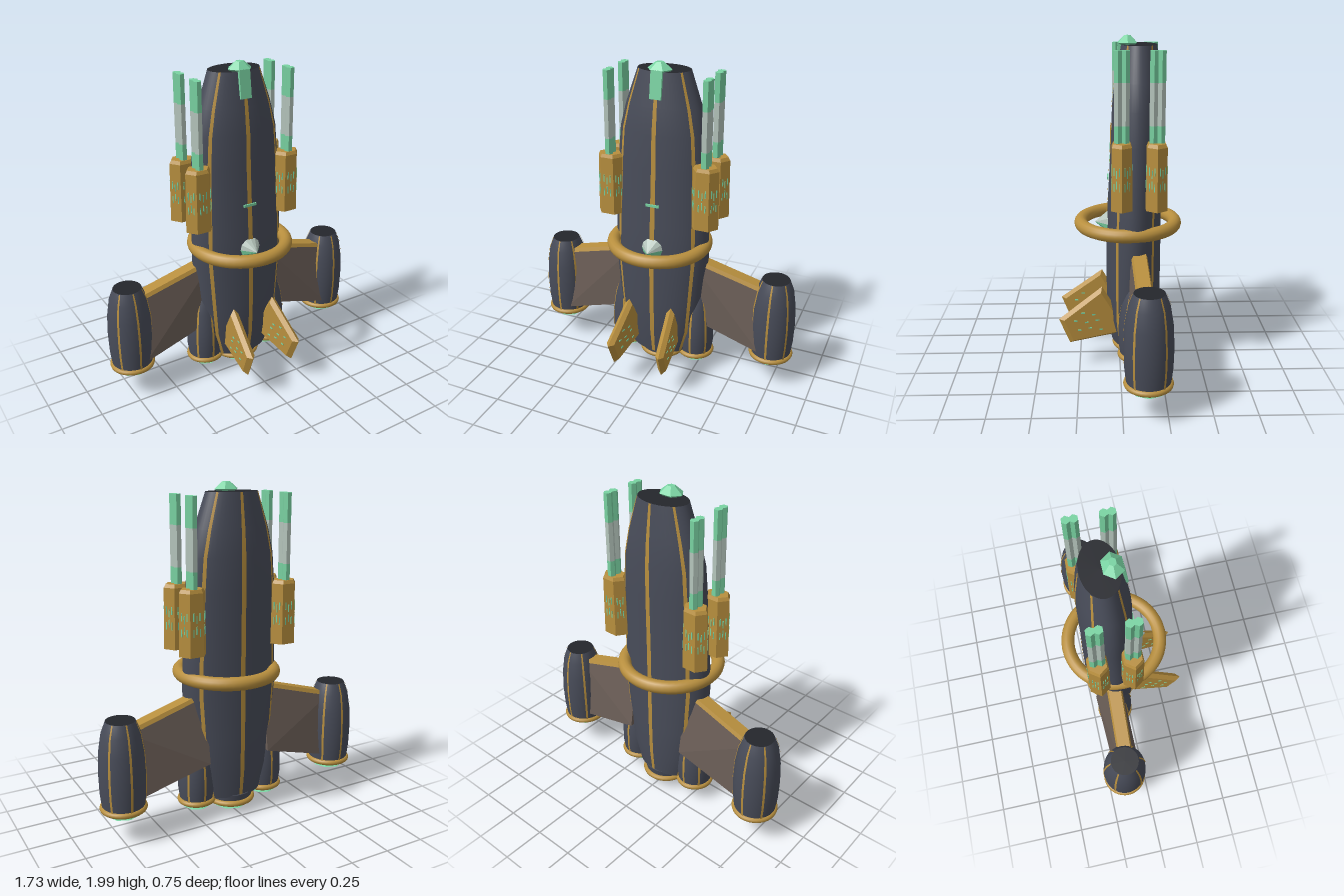
import * as THREE from 'three';
import { ConvexGeometry } from 'three/addons/geometries/ConvexGeometry.js';

const mat = (name, color) => {
  const m = new THREE.MeshStandardMaterial({ color });
  m.name = name;
  return m;
};

export function createModel() {
  const hullPaint = mat('slate hull', 0x484c59);
  const capPaint = mat('dark cap', 0x24262c);
  const gold = mat('gold trim', 0xb88f3e);
  const brown = mat('brown panel', 0x6b5e57);
  const green = mat('green crystal', 0x79d3a2);
  const pale = mat('pale crystal', 0xb6c6bd);

  const model = new THREE.Group();
  model.name = 'spaceship';

  const add = (parent, name, geometry, material, x = 0, y = 0, z = 0) => {
    const mesh = new THREE.Mesh(geometry, material);
    mesh.name = name;
    mesh.position.set(x, y, z);
    parent.add(mesh);
    return mesh;
  };
  const group = (name, x = 0, y = 0, z = 0) => {
    const g = new THREE.Group();
    g.name = name;
    g.position.set(x, y, z);
    model.add(g);
    return g;
  };
  const flat = (geometry) => {
    const g = geometry.toNonIndexed();
    g.computeVertexNormals();
    return g;
  };
  const convex = (pts) => new ConvexGeometry(pts.map((p) => new THREE.Vector3(...p)));

  // Elliptical loft: each row is [y, half width, half depth, centre z]
  const loft = (rows, grow = 0, start = 0, sweep = Math.PI * 2, segs = 48) => {
    const g = new THREE.LatheGeometry(rows.map((r) => new THREE.Vector2(1, r[0])), segs, start, sweep);
    const p = g.attributes.position;
    for (let i = 0; i < p.count; i++) {
      const [, w, d, c] = rows[i % rows.length];
      p.setX(i, p.getX(i) * (w + grow));
      p.setZ(i, p.getZ(i) * (d + grow) + c);
    }
    g.computeVertexNormals();
    return g;
  };

  // Hull with closed ends and painted lengthwise stripes
  const stripedHull = (parent, name, rows, width) => {
    add(parent, name, loft(rows), hullPaint);
    const top = rows[rows.length - 1], low = rows[0];
    add(parent, name + 'TopCap', loft([top, [top[0], 0, 0, top[3]]]), capPaint);
    add(parent, name + 'BottomCap', loft([[low[0], 0, 0, low[3]], low]), hullPaint);
    for (const deg of [0, 52, 128, 180, 232, 308]) {
      const a = THREE.MathUtils.degToRad(deg);
      add(parent, name + 'Stripe', loft(rows, 0.004, a - width / 2, width, 4), gold);
    }
  };

  // Gold collar with a faceted crystal exhaust below it
  const thruster = (parent, x, y, z, collarR, crystalR, drop) => {
    const collar = add(parent, 'thrusterCollar', new THREE.TorusGeometry(collarR, 0.018, 10, 36), gold, x, y, z);
    collar.rotation.x = Math.PI / 2;
    const pts = [[0, 0.03], [crystalR, 0], [0, -0.03]].map(([r, h]) => new THREE.Vector2(r, -h)).reverse();
    const outline = pts.map((p) => new THREE.Vector2(p.x, p.y)).sort((a, b) => a.y - b.y);
    add(parent, 'exhaustCrystal', flat(new THREE.LatheGeometry(outline, 8)), green, x, y - drop, z);
  };

  // Main body
  const body = group('body');
  stripedHull(body, 'fuselage', [
    [0.13, 0.2, 0.14, -0.09], [0.3, 0.26, 0.16, -0.086], [0.5, 0.28, 0.165, -0.085],
    [0.8, 0.305, 0.165, -0.085], [1.0, 0.3, 0.16, -0.088], [1.4, 0.285, 0.15, -0.1],
    [1.6, 0.268, 0.146, -0.102], [1.75, 0.23, 0.132, -0.106], [1.95, 0.16, 0.105, -0.11],
  ], 0.1);
  add(body, 'tailSleeve', new THREE.CylinderGeometry(0.14, 0.13, 0.07, 36), hullPaint, 0, 0.105, -0.1);
  thruster(body, 0, 0.085, -0.105, 0.132, 0.105, 0.048);

  // Large hoop around the waist
  const hoop = add(model, 'waistHoop', new THREE.TorusGeometry(0.285, 0.04, 14, 48), gold, 0, 0.89, -0.05);
  hoop.rotation.x = Math.PI / 2;

  // Nose crystal, its front strip, the marker line and the canopy gem
  const nose = add(model, 'noseCrystal', flat(new THREE.CylinderGeometry(0.025, 0.076, 0.04, 6, 1, false, Math.PI / 2)), green, 0, 1.98, -0.045);
  nose.scale.z = 0.82;
  add(model, 'noseCrystalBase', flat(new THREE.CylinderGeometry(0.076, 0.05, 0.02, 6, 1, false, Math.PI / 2)), green, 0, 1.95, -0.045).scale.z = 0.82;
  const strip = add(model, 'noseStrip', new THREE.BoxGeometry(0.07, 0.16, 0.03), green, 0, 1.88, 0.004);
  strip.rotation.x = -0.13;
  add(model, 'hullMarker', new THREE.BoxGeometry(0.085, 0.015, 0.009), green, 0, 1.172, 0.07);
  for (const [name, m, start] of [['canopyTop', pale, Math.PI / 2], ['canopyBottom', green, -Math.PI / 2]]) {
    const cone = new THREE.ConeGeometry(0.078, 0.09, 6, 1, false, start, Math.PI);
    add(model, name, flat(cone), m, 0, 0.89, 0.105).rotation.x = Math.PI / 2;
  }

  for (const s of [1, -1]) {
    const side = s > 0 ? 'left' : 'right';

    // Wing with a gold upper edge
    const wing = group(side + 'Wing');
    add(wing, 'wingPanel', convex([
      [s * 0.2, 0.78, -0.15], [s * 0.2, 0.78, -0.06], [s * 0.2, 0.38, -0.22], [s * 0.2, 0.38, -0.05],
      [s * 0.68, 0.645, -0.17], [s * 0.68, 0.645, -0.08], [s * 0.68, 0.245, -0.2], [s * 0.68, 0.245, -0.03],
    ]), brown);
    const edge = [];
    for (const [x, y, z] of [[0.2, 0.78, -0.105], [0.68, 0.645, -0.125]]) {
      for (const dz of [-0.047, 0.047]) edge.push([s * x, y, z + dz], [s * x, y + 0.025, z + dz * 0.8]);
    }
    add(wing, 'wingEdge', convex(edge), gold);

    // Wing tip engine
    const pod = group(side + 'WingEngine', s * 0.725, 0, -0.14);
    stripedHull(pod, 'enginePod', [
      [0.2, 0.122], [0.3, 0.133], [0.42, 0.136], [0.55, 0.13], [0.66, 0.112], [0.73, 0.085],
    ].map(([y, r]) => [y, r, r, 0]), 0.1);
    thruster(pod, 0, 0.205, 0, 0.12, 0.098, 0.043);

    // Small booster beside the tail
    const booster = group(side + 'Booster', s * 0.235, 0, -0.1);
    stripedHull(booster, 'boosterPod', [
      [0.11, 0.1], [0.2, 0.112], [0.32, 0.11], [0.45, 0.09], [0.54, 0.066], [0.58, 0.04],
    ].map(([y, r]) => [y, r, r, 0]), 0.12);
    thruster(booster, 0, 0.12, 0, 0.1, 0.083, 0.043);

    // Front fin, thickest inside its outline, with small inlays
    const fin = group(side + 'Fin', s * 0.13, 0, 0);
    fin.rotation.y = s * 0.1;
    const outline = [[0, 0.33], [0.11, 0.52], [0.375, 0.32], [0.31, 0.16], [0, 0.21]];
    const pts = [];
    for (const [z, y] of outline) {
      pts.push([0, y, z]);
      for (const t of [-0.026, 0.026]) pts.push([t, 0.31 + (y - 0.31) * 0.85, 0.17 + (z - 0.17) * 0.85]);
    }
    add(fin, 'finBlade', convex(pts), gold);
    for (const t of [-0.026, 0.026]) {
      for (let i = 0; i < 8; i++) {
        add(fin, 'finInlay', new THREE.BoxGeometry(0.006, 0.008, 0.022), green,
          t, 0.25 + (i % 3) * 0.05 + (i % 2) * 0.012, 0.12 + i * 0.022);
      }
    }

    // Twin-barrelled cannons, front and back
    for (const z of [-0.005, -0.2]) {
      const gun = group(side + (z < -0.1 ? 'Rear' : 'Front') + 'Cannon', s * 0.302, 0, z);
      const housing = new THREE.Group();
      housing.name = 'housing';
      housing.scale.z = 0.8;
      gun.add(housing);
      add(housing, 'housingBlock', flat(new THREE.CylinderGeometry(0.08, 0.086, 0.36, 6, 1, false, Math.PI / 2)), gold, 0, 1.24, 0);
      add(housing, 'housingTop', flat(new THREE.CylinderGeometry(0.068, 0.08, 0.02, 6, 1, false, Math.PI / 2)), gold, 0, 1.43, 0);
      for (let f = 0; f < 6; f++) {
        const face = new THREE.Group();
        face.name = 'facetInlays';
        face.rotation.y = f * Math.PI / 3;
        housing.add(face);
        for (let i = 0; i < 6; i++) {
          add(face, 'inlay', new THREE.BoxGeometry(0.006, 0.045, 0.006), green,
            ((i % 3) - 1) * 0.02, 1.2 + Math.floor(i / 3) * 0.075 + (i % 2) * 0.015, 0.0715);
        }
      }
      for (const dz of [-0.021, 0.021]) {
        for (const [name, m, y0, y1] of [
          ['barrelBase', green, 1.43, 1.535], ['barrelMiddle', pale, 1.535, 1.77], ['barrelTip', green, 1.77, 1.94],
        ]) {
          const g = flat(new THREE.CylinderGeometry(0.025, 0.025, y1 - y0, 6, 1, false, Math.PI / 2));
          add(gun, name, g, m, 0, (y0 + y1) / 2, dz);
        }
      }
    }
  }
  return model;
}
